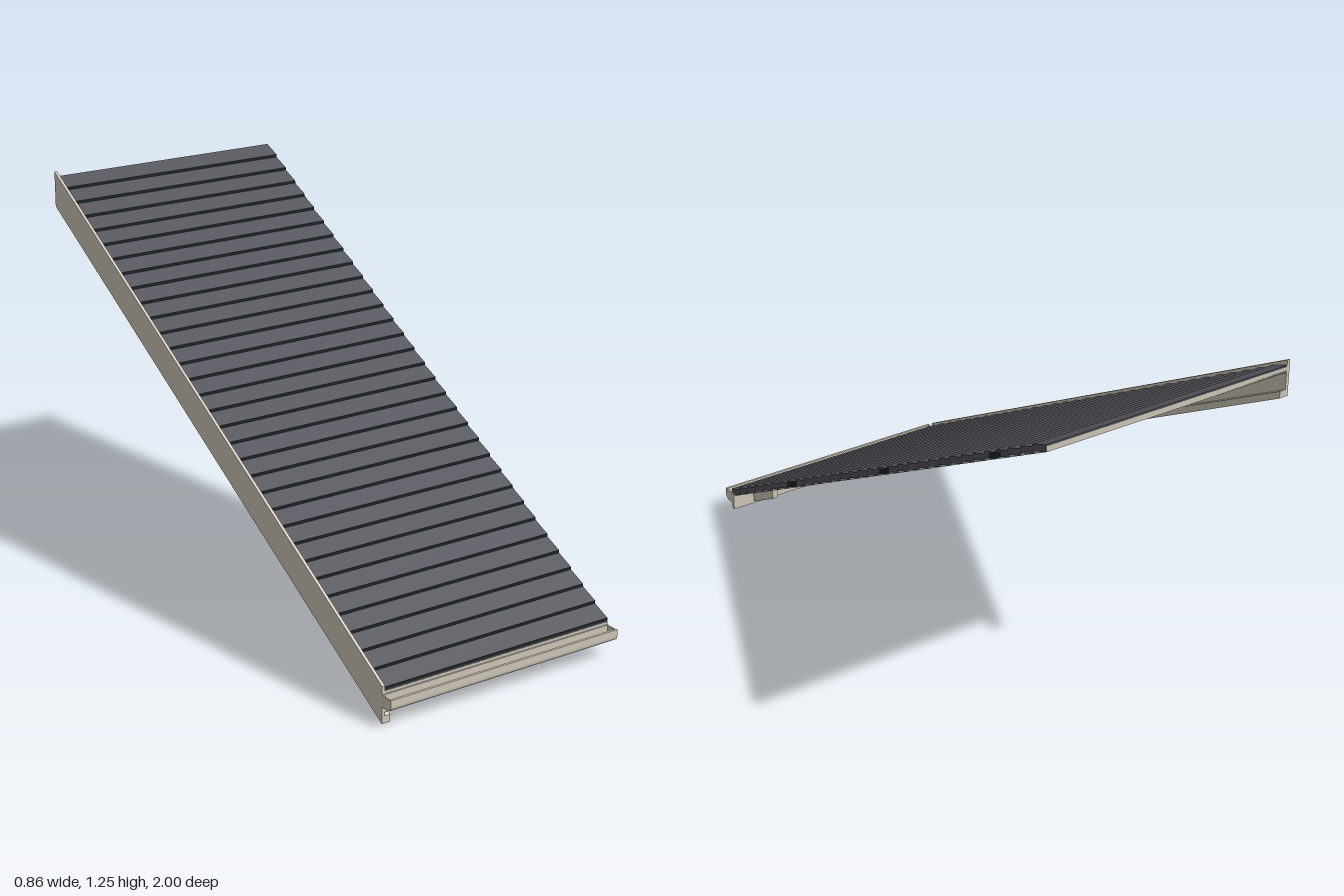
import * as THREE from 'three';

const material = (name, color) => {
  const m = new THREE.MeshStandardMaterial({ color });
  m.name = name;
  return m;
};

const BACK = -1, EAVE = 0.95, FRONT = 0.955;
const RIGHT = -0.43, LEFT = 0.43, COURSE_START = -0.42;
const SLOPE = 0.578;
const COURSES = 32;

// height of a line running parallel to the roof, raised by offset
const rise = (z, offset) => (FRONT - z) * SLOPE + offset;

// prism with a [z, y] profile spanning x0..x1
function prism(name, mat, profile, x0, x1) {
  const shape = new THREE.Shape(profile.map(([z, y]) => new THREE.Vector2(-z, y)));
  const geo = new THREE.ExtrudeGeometry(shape, { depth: x1 - x0, bevelEnabled: false, curveSegments: 6 });
  geo.rotateY(Math.PI / 2); // shape x becomes -z, depth becomes +x
  geo.translate(x0, 0, 0);
  const mesh = new THREE.Mesh(geo, mat);
  mesh.name = name;
  return mesh;
}

// sloping slab between two offsets, with plumb-cut ends
function slab(name, mat, zFront, zBack, low, high, x0, x1) {
  return prism(name, mat, [
    [zFront, rise(zFront, low)], [zBack, rise(zBack, low)],
    [zBack, rise(zBack, high)], [zFront, rise(zFront, high)],
  ], x0, x1);
}

export function createModel() {
  const group = new THREE.Group();
  group.name = 'roofSection';
  const trim = material('beige trim', 0xd2cabb);
  const slate = material('dark grey shingle', 0x55555d);
  const shade = material('dark shingle edge', 0x1c2628);

  // thin deck under the shingles
  group.add(slab('deck', trim, 0.945, BACK, 0.08, 0.098, -0.425, 0.425));

  // overlapping courses, each with a dark butt edge
  const courses = new THREE.Group();
  courses.name = 'shingles';
  const pitch = (EAVE - BACK) / COURSES;
  for (let i = 0; i < COURSES; i++) {
    const z0 = EAVE - i * pitch, z1 = z0 - pitch;
    const y0 = rise(z0, 0), y1 = rise(z1, 0);
    courses.add(prism('shingleCourse', slate, [
      [z0, y0 + 0.09], [z1, y1 + 0.081], [z1, y1 + 0.104], [z0, y0 + 0.113],
    ], COURSE_START, LEFT));
    const edge = new THREE.Mesh(new THREE.BoxGeometry(LEFT - COURSE_START, 0.009, 0.001), shade);
    edge.position.set((LEFT + COURSE_START) / 2, y0 + 0.1083, z0 + 0.0005);
    edge.name = 'shingleEdge';
    courses.add(edge);
  }
  // dark ends on a few courses
  for (const z of [0.52, -0.1, -0.72]) {
    courses.add(slab('darkCourseEnd', shade, z, z - 0.06, 0.086, 0.105, LEFT - 0.001, LEFT + 0.001));
  }
  group.add(courses);

  // rake board with a return flange along its lower edge
  group.add(slab('rakeBoard', trim, FRONT, BACK, 0, 0.122, RIGHT, COURSE_START));
  group.add(slab('rakeFlange', trim, FRONT, BACK, 0, 0.024, COURSE_START, -0.4));

  // fascia across the eave
  group.add(prism('fascia', trim, [
    [0.94, 0.035], [0.94, 0.1], [0.953, 0.104], [0.953, 0.035],
  ], COURSE_START, LEFT));

  // rafter tails below the deck
  for (let i = 0; i < 4; i++) {
    const x = 0.34 - i * 0.18;
    group.add(slab('rafterTail', trim, 0.942, 0.79, 0.033, 0.085, x - 0.01, x + 0.01));
  }

  // open gutter with a rounded lower front
  const arc = (cz, cy, r, from, to) => Array.from({ length: 6 }, (_, i) => {
    const a = from + (to - from) * i / 5;
    return [cz + r * Math.cos(a), cy + r * Math.sin(a)];
  });
  const outer = arc(0.982, 0.073, 0.018, -Math.PI / 2, 0);
  const inner = arc(0.982, 0.073, 0.013, 0, -Math.PI / 2);
  group.add(prism('gutter', trim, [
    [0.953, 0.055], ...outer, [1, 0.095], [0.992, 0.095], [0.992, 0.089], [0.995, 0.087],
    ...inner, [0.958, 0.06], [0.958, 0.095], [0.953, 0.095],
  ], RIGHT, LEFT));

  // gutter end caps
  for (const x of [RIGHT, LEFT - 0.004]) {
    group.add(prism('gutterCap', trim, [
      [0.956, 0.058], [0.982, 0.058], [0.992, 0.062], [0.997, 0.073], [0.997, 0.093], [0.956, 0.093],
    ], x, x + 0.004));
  }
  return group;
}
